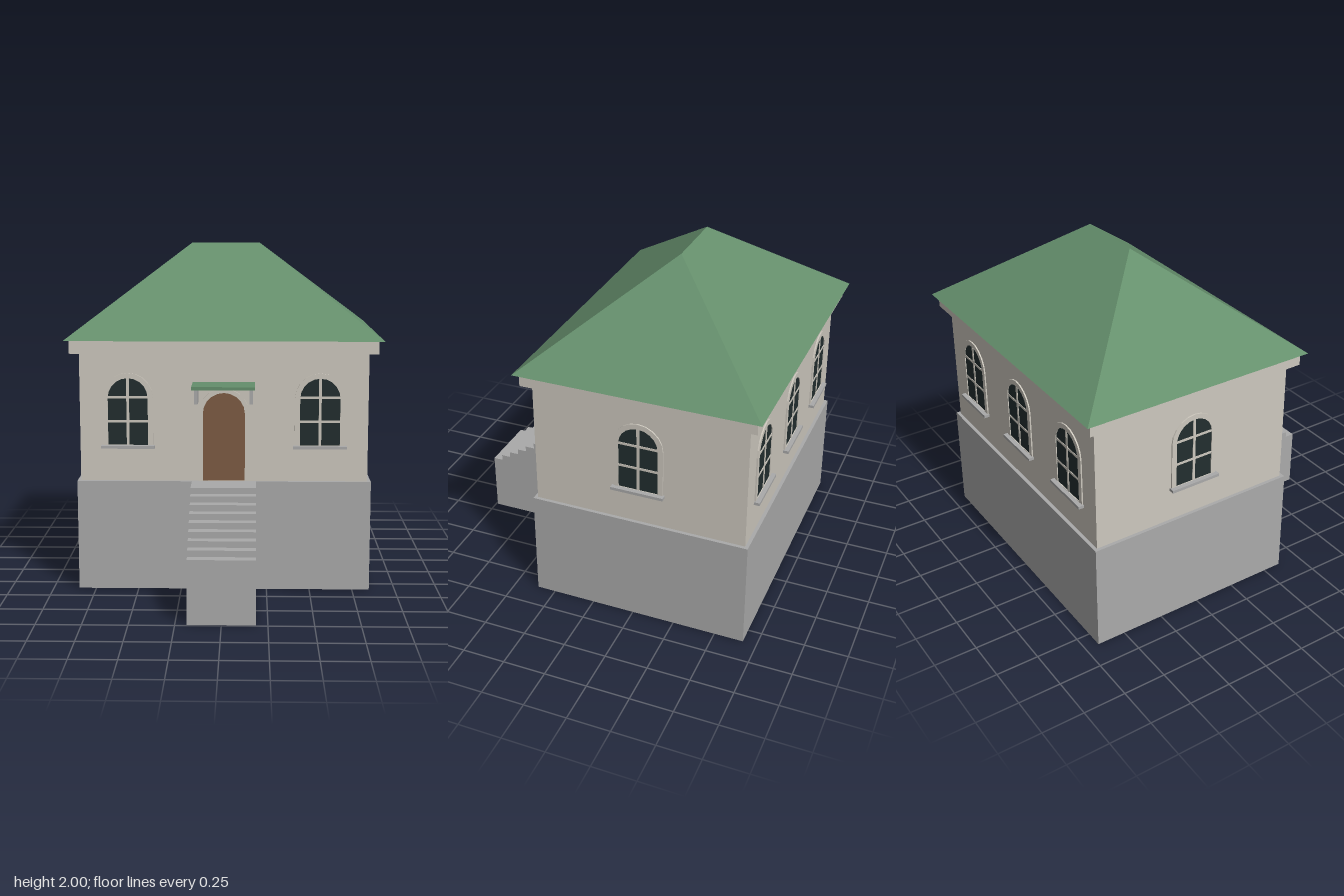
import * as THREE from 'three';

const paint = (name, color, side = THREE.FrontSide) => {
  const m = new THREE.MeshStandardMaterial({ color, side });
  m.name = name;
  return m;
};

export function createModel() {
  const house = new THREE.Group();
  house.name = 'house';
  const plaster = paint('plaster', 0xcdc8be);
  const stone = paint('stone', 0xaaaaaa, THREE.DoubleSide);
  const green = paint('roofGreen', 0x658f6c);
  const glass = paint('darkGlass', 0x222e2f);
  const wood = paint('doorWood', 0x7d5c44);

  const add = (parent, name, geometry, material) => {
    const mesh = new THREE.Mesh(geometry, material);
    mesh.name = name;
    parent.add(mesh);
    return mesh;
  };
  // Box given by its limits on each axis
  const block = (parent, name, material, [x0, x1], [y0, y1], [z0, z1]) => {
    const mesh = add(parent, name, new THREE.BoxGeometry(x1 - x0, y1 - y0, z1 - z0), material);
    mesh.position.set((x0 + x1) / 2, (y0 + y1) / 2, (z0 + z1) / 2);
    return mesh;
  };
  // Round-headed outline standing on y = bottom
  const archPoints = (half, bottom, spring) => {
    const pts = [new THREE.Vector2(-half, bottom), new THREE.Vector2(half, bottom)];
    for (let i = 0; i <= 10; i++) {
      const a = (i / 10) * Math.PI;
      pts.push(new THREE.Vector2(half * Math.cos(a), spring + half * Math.sin(a)));
    }
    return pts;
  };
  const plate = (shape, depth) => new THREE.ExtrudeGeometry(shape, { depth, bevelEnabled: false });

  // Foundation with the stair landing: one outline, hollow and open underneath
  const outline = new THREE.Shape([
    [-0.85, 0.92], [-0.85, -0.36], [-0.185, -0.36], [-0.185, -0.525],
    [0.185, -0.525], [0.185, -0.36], [0.85, -0.36], [0.85, 0.92],
  ].map(([x, y]) => new THREE.Vector2(x, y)));
  const solid = plate(outline, 0.645).rotateX(-Math.PI / 2);
  const p = solid.attributes.position;
  const kept = [];
  for (let i = 0; i < p.count; i += 3) {
    const open = [0, 1, 2].every((k) => p.getY(i + k) < 0.001);
    if (!open) for (let k = 0; k < 3; k++) kept.push(p.getX(i + k), p.getY(i + k), p.getZ(i + k));
  }
  const shell = new THREE.BufferGeometry();
  shell.setAttribute('position', new THREE.Float32BufferAttribute(kept, 3));
  shell.computeVertexNormals();
  add(house, 'foundation', shell, stone);

  // Stairs: stepped side profile (z, y) extruded across
  const steps = 8, zBack = 0.525, zFront = 0.99, yLow = 0.36, yHigh = 0.645;
  const profile = [new THREE.Vector2(zBack, 0), new THREE.Vector2(zFront, 0)];
  for (let i = 0; i < steps; i++) {
    const y = yLow + ((yHigh - yLow) * i) / steps;
    const run = (zFront - zBack) / steps;
    profile.push(new THREE.Vector2(zFront - i * run, y), new THREE.Vector2(zFront - (i + 1) * run, y));
  }
  const stairs = plate(new THREE.Shape(profile), 0.37).rotateY(-Math.PI / 2).translate(0.185, 0, 0);
  add(house, 'stairs', stairs, stone);

  // Walls and cornice
  block(house, 'walls', plaster, [-0.83, 0.83], [0.645, 1.39], [-0.9, 0.34]);
  block(house, 'cornice', plaster, [-0.88, 0.88], [1.39, 1.465], [-0.95, 0.39]);

  // Hipped roof: a box whose top is drawn in to a ridge
  const roof = new THREE.BoxGeometry(1.82, 0.535, 1.4).toNonIndexed();
  const r = roof.attributes.position;
  for (let i = 0; i < r.count; i++) {
    if (r.getY(i) > 0) r.setXYZ(i, Math.sign(r.getX(i)) * 0.207, r.getY(i), 0);
  }
  roof.computeVertexNormals();
  add(house, 'roof', roof, green).position.set(0, 1.7325, -0.28);

  // Arched windows, each built facing +z from the wall plane
  const addWindow = (x, z, turn) => {
    const win = new THREE.Group();
    win.name = 'window';
    const frame = new THREE.Shape(archPoints(0.145, 0.855, 1.13));
    frame.holes.push(new THREE.Path(archPoints(0.115, 0.856, 1.13)));
    add(win, 'windowFrame', plate(frame, 0.008), plaster);
    add(win, 'windowPane', plate(new THREE.Shape(archPoints(0.116, 0.855, 1.13)), 0.003), glass);
    block(win, 'windowMullion', plaster, [-0.008, 0.008], [0.855, 1.245], [0, 0.007]);
    for (const y of [0.995, 1.135]) {
      block(win, 'windowBar', plaster, [-0.115, 0.115], [y - 0.007, y + 0.007], [0, 0.006]);
    }
    block(win, 'windowSill', stone, [-0.154, 0.154], [0.838, 0.855], [0, 0.033]);
    win.position.set(x, 0, z);
    win.rotation.y = turn;
    house.add(win);
  };
  for (const x of [-0.553, 0.553]) addWindow(x, 0.34, 0);
  for (const x of [-0.553, 0, 0.553]) addWindow(x, -0.9, Math.PI);
  for (const s of [-1, 1]) addWindow(s * 0.83, -0.28, (s * Math.PI) / 2);

  // Arched door with its surround
  const surround = new THREE.Shape(archPoints(0.147, 0.645, 1.04));
  surround.holes.push(new THREE.Path(archPoints(0.121, 0.646, 1.04)));
  add(house, 'doorFrame', plate(surround, 0.008), plaster).position.z = 0.34;
  const door = new THREE.Shape(archPoints(0.122, 0.645, 1.04));
  add(house, 'door', plate(door, 0.003), wood).position.z = 0.34;

  // Canopy on two brackets
  block(house, 'canopy', green, [-0.178, 0.178], [1.205, 1.223], [0.34, 0.545]);
  for (const s of [-1, 1]) {
    const bracket = block(house, 'canopyBracket', stone, [-0.01, 0.01], [1.11, 1.205], [0.34, 0.445]);
    bracket.position.x = s * 0.156;
  }
  return house;
}
